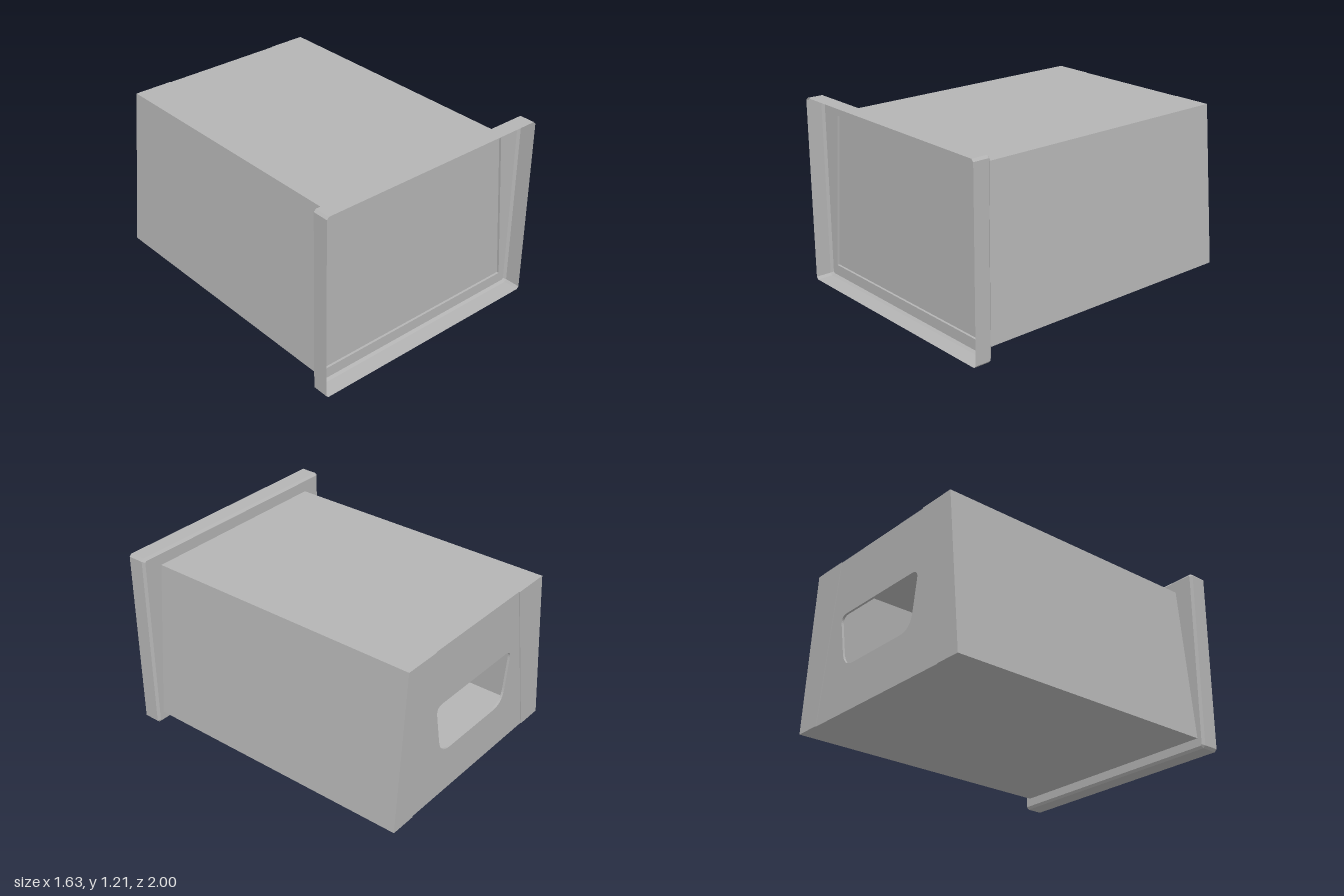
import * as THREE from 'three';

// Shape from corners [x, y, radius]; corners with a radius are rounded
function outline(points, Type = THREE.Shape) {
  const path = new Type();
  const n = points.length;
  points.forEach(([x, y, r = 0], i) => {
    const corner = new THREE.Vector2(x, y);
    const toward = (j) => new THREE.Vector2(points[j][0], points[j][1])
      .sub(corner).setLength(r).add(corner);
    const a = r ? toward((i + n - 1) % n) : corner;
    const b = r ? toward((i + 1) % n) : corner;
    if (i === 0) path.moveTo(a.x, a.y);
    else path.lineTo(a.x, a.y);
    if (r) path.quadraticCurveTo(x, y, b.x, b.y);
  });
  path.closePath();
  return path;
}

// Symmetric trapezoid, wider at the bottom
const trapezoid = (bottom, top, y0, y1) => [[-bottom, y0], [bottom, y0], [top, y1], [-top, y1]];

// Rectangle with cut corners
function cutRectangle(w, y0, y1, c) {
  return [
    [-w + c, y0], [w - c, y0], [w, y0 + c], [w, y1 - c],
    [w - c, y1], [-w + c, y1], [-w, y1 - c], [-w, y0 + c],
  ];
}

export function createModel() {
  const model = new THREE.Group();
  const grey = new THREE.MeshStandardMaterial({ color: 0xb4b4b4, side: THREE.DoubleSide, flatShading: true });
  grey.name = 'grey';

  const add = (name, geometry) => {
    const mesh = new THREE.Mesh(geometry, grey);
    mesh.name = name;
    model.add(mesh);
    return mesh;
  };
  const slab = (name, shape, z0, z1) => {
    const geometry = new THREE.ExtrudeGeometry(shape, { depth: z1 - z0, bevelEnabled: false, curveSegments: 8 });
    geometry.translate(0, 0, z0);
    return add(name, geometry);
  };

  const bodyOutline = trapezoid(0.77, 0.675, 0.07, 1.12);
  const innerOutline = trapezoid(0.752, 0.659, 0.085, 1.105);

  // Hollow tapered body
  const shell = outline(bodyOutline);
  shell.holes.push(outline(innerOutline, THREE.Path));
  slab('bodyShell', shell, -0.98, 0.88);

  // Slightly recessed front panel inside the shell
  slab('frontPanel', outline(innerOutline), 0.855, 0.865);

  // Back wall: a middle panel with a handle opening and two side strips
  const backPanel = outline(trapezoid(0.59, 0.42, 0.07, 1.12));
  backPanel.holes.push(outline([
    [-0.33, 0.37, 0.1], [0.33, 0.37, 0.1], [0.39, 0.73, 0.06], [-0.39, 0.73, 0.06],
  ], THREE.Path));
  slab('backPanel', backPanel, -0.995, -0.98);
  for (const s of [1, -1]) {
    const strip = [[0.59, 0.07], [0.77, 0.07], [0.675, 1.12], [0.42, 1.12]];
    slab(s > 0 ? 'leftBackStrip' : 'rightBackStrip',
      outline(strip.map(([x, y]) => [x * s, y])), -1, -0.98);
  }

  // Thin rim of the front tray, with a chamfer at its back edge
  const rings = [
    [cutRectangle(0.815, 0, 1.21, 0.015), 1],
    [cutRectangle(0.815, 0, 1.21, 0.015), 0.895],
    [cutRectangle(0.8, 0.015, 1.195, 0.008), 0.88],
  ];
  const positions = rings.flatMap(([ring, z]) => ring.flatMap(([x, y]) => [x, y, z]));
  const index = [];
  for (let k = 0; k < 2; k++) {
    for (let i = 0; i < 8; i++) {
      const j = (i + 1) % 8;
      const a = k * 8 + i, b = k * 8 + j;
      index.push(a, a + 8, b, b, a + 8, b + 8);
    }
  }
  let rim = new THREE.BufferGeometry();
  rim.setAttribute('position', new THREE.Float32BufferAttribute(positions, 3));
  rim.setIndex(index);
  rim = rim.toNonIndexed();
  rim.computeVertexNormals();
  add('frontRim', rim);

  // Floor of the tray around the body
  const trayFloor = outline(rings[2][0]);
  trayFloor.holes.push(outline(bodyOutline, THREE.Path));
  add('frontFlange', new THREE.ShapeGeometry(trayFloor)).position.z = 0.88;

  return model;
}
